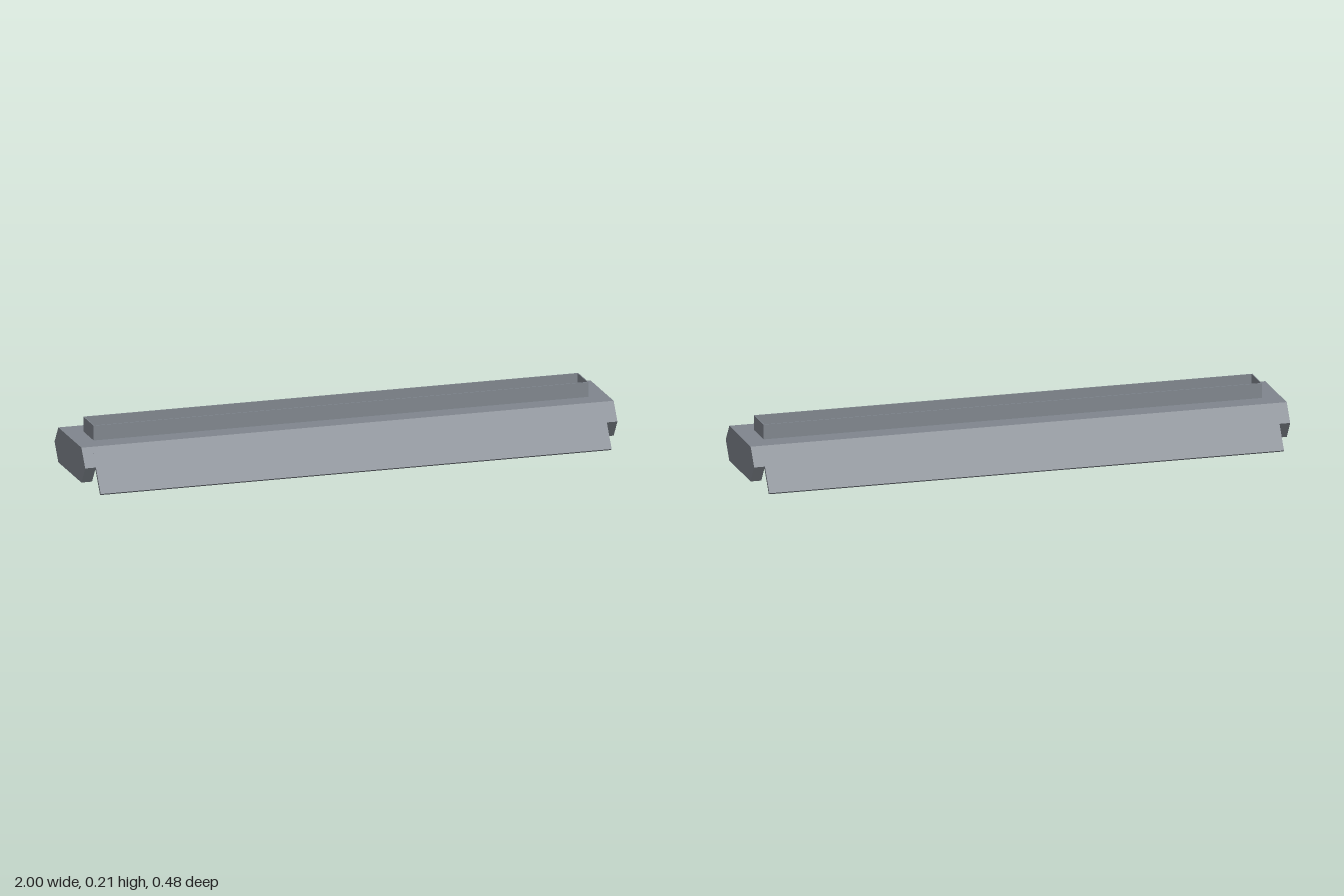
import * as THREE from 'three';

const housing = new THREE.MeshStandardMaterial({ color: 0x80868e });
housing.name = 'grey housing';
const glass = new THREE.MeshStandardMaterial({ color: 0xe6e6e2 });
glass.name = 'white glass';

// Extrudes a (z, y) outline along x, between x0 and x1
function profileAlongX(points, x0, x1) {
  const shape = new THREE.Shape(points.map(([z, y]) => new THREE.Vector2(z, y)));
  const geometry = new THREE.ExtrudeGeometry(shape, { depth: x1 - x0, bevelEnabled: false });
  return geometry.rotateY(Math.PI / 2).translate(x0, 0, 0);
}

export function createModel() {
  const model = new THREE.Group();
  model.name = 'tubeLight';

  function add(name, geometry, material, x = 0, y = 0, z = 0) {
    const mesh = new THREE.Mesh(geometry, material);
    mesh.name = name;
    mesh.position.set(x, y, z);
    model.add(mesh);
    return mesh;
  }

  // Bent sheet reflector: flat top with a sloping wing on each side
  const half = [[0.137, 0.155], [0.24, 0.007], [0.232, 0.001], [0.132, 0.145]];
  const mirrored = half.map(([z, y]) => [-z, y]).reverse();
  add('reflector', profileAlongX([...half, ...mirrored], -0.96, 0.96), housing);

  // Hexagonal end caps
  const hexagon = [
    [0.137, 0.155], [0.182, 0.09], [0.137, 0.025],
    [-0.137, 0.025], [-0.182, 0.09], [-0.137, 0.155],
  ];
  add('leftEndCap', profileAlongX(hexagon, 0.96, 1), housing);
  add('rightEndCap', profileAlongX(hexagon, -1, -0.96), housing);

  // Open mounting channel on top
  const wall = 0.004, length = 1.86, width = 0.124, height = 0.055;
  for (const side of [-1, 1]) {
    add('channelSide', new THREE.BoxGeometry(length, height, wall), housing,
      0, 0.155 + height / 2, side * (width - wall) / 2);
    add('channelEnd', new THREE.BoxGeometry(wall, height, width - 2 * wall), housing,
      side * (length - wall) / 2, 0.155 + height / 2, 0);
  }

  // Two lamp tubes with a socket at each end
  const tube = new THREE.CylinderGeometry(0.03, 0.03, 1.9, 32).rotateZ(Math.PI / 2);
  const socket = new THREE.CylinderGeometry(0.034, 0.034, 0.02, 32).rotateZ(Math.PI / 2);
  for (const z of [-0.08, 0.08]) {
    add('lampTube', tube, glass, 0, 0.085, z);
    for (const side of [-1, 1]) add('lampSocket', socket, housing, side * 0.95, 0.085, z);
  }

  return model;
}
